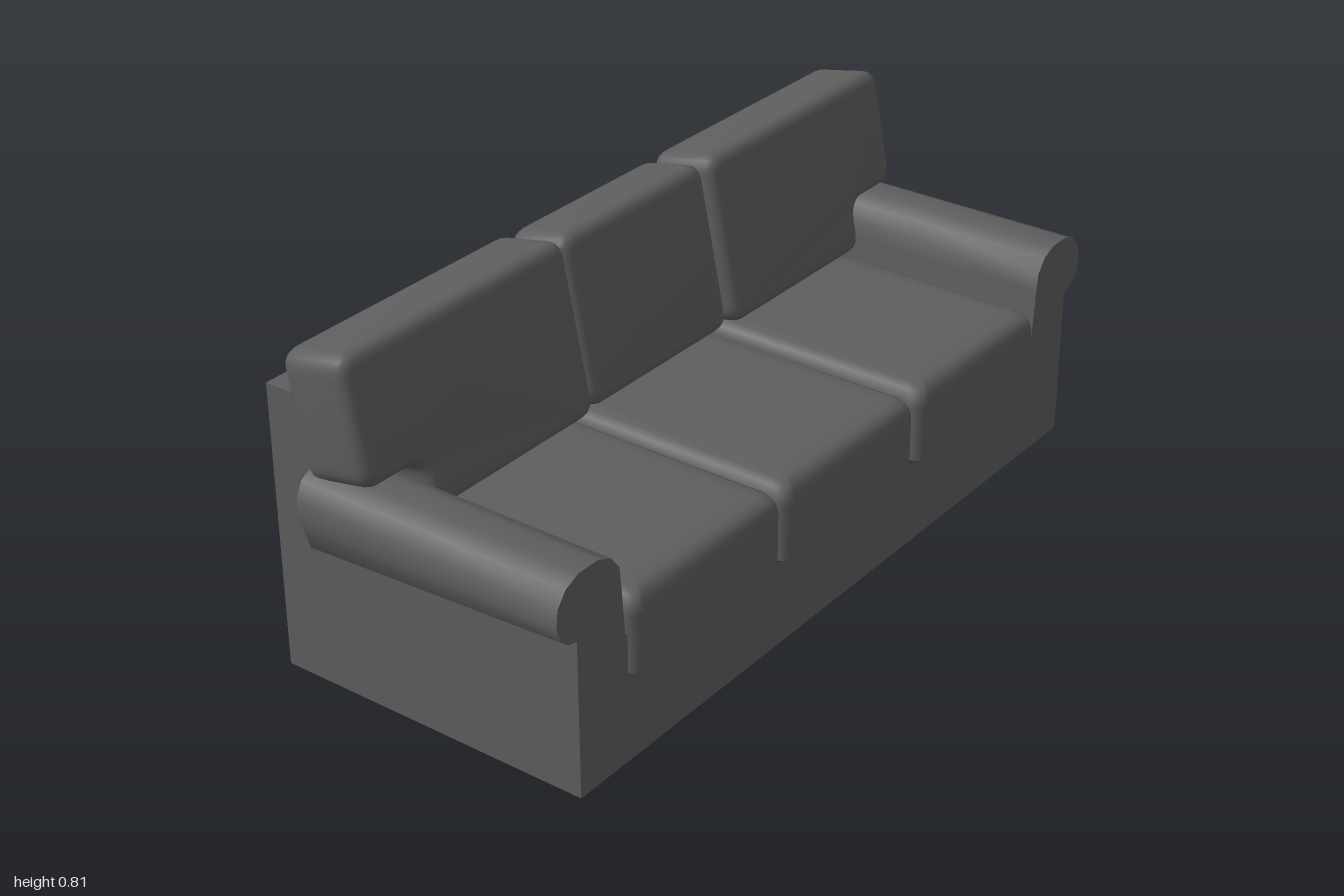
import * as THREE from 'three';
import { toCreasedNormals } from 'three/addons/utils/BufferGeometryUtils.js';

const fabric = new THREE.MeshStandardMaterial({ color: 0x5e5e5e, side: THREE.DoubleSide });
fabric.name = 'charcoal fabric';

// Arm cross-section (x, y): outer wall top, round the roll, down the inner side
const ARM = [
  [0.94, 0.375], [0.965, 0.38], [0.988, 0.398], [1.0, 0.43], [0.995, 0.475], [0.97, 0.508],
  [0.93, 0.525], [0.87, 0.525], [0.83, 0.508], [0.805, 0.475], [0.8, 0.43], [0.79, 0.31],
  [0.78, 0.305], [0.775, 0.21],
];
const FRONT = 0.39, BACK = -0.41, TOP = 0.685;
const slopeZ = (y) => -0.265 - (y - 0.35) * 0.222; // leaning front of the backrest

function add(group, name, geometry) {
  const mesh = new THREE.Mesh(geometry, fabric);
  mesh.name = name;
  group.add(mesh);
  return mesh;
}

// Skin over rings of equal length; optionally closed round and capped at the end
function loft(rings, closed, cap) {
  const n = rings[0].length, pos = rings.flat(2), idx = [];
  for (let r = 0; r < rings.length - 1; r++) {
    for (let i = 0; i < (closed ? n : n - 1); i++) {
      const a = r * n + i, b = r * n + ((i + 1) % n);
      idx.push(a, b, a + n, b, b + n, a + n);
    }
  }
  if (cap) {
    const s = (rings.length - 1) * n;
    for (let i = 1; i < n - 1; i++) idx.push(s, s + i, s + i + 1);
  }
  const g = new THREE.BufferGeometry();
  g.setAttribute('position', new THREE.Float32BufferAttribute(pos, 3));
  g.setIndex(idx);
  g.computeVertexNormals();
  return g;
}

const polygon = (pts) => new THREE.Shape(pts.map(([x, y]) => new THREE.Vector2(x, y)));

// Outline with every corner rounded
function roundedShape(pts, r) {
  const s = new THREE.Shape(), n = pts.length;
  const v = pts.map(([x, y]) => new THREE.Vector2(x, y));
  for (let i = 0; i < n; i++) {
    const c = v[i];
    const toward = (p) => c.clone().add(p.clone().sub(c).setLength(r));
    const a = toward(v[(i + n - 1) % n]), b = toward(v[(i + 1) % n]);
    if (i === 0) s.moveTo(a.x, a.y); else s.lineTo(a.x, a.y);
    s.quadraticCurveTo(c.x, c.y, b.x, b.y);
  }
  s.closePath();
  return s;
}

// Seat cushion: soft top edge, open underneath
function seatCushion(x0, x1) {
  const z0 = -0.22, z1 = 0.41;
  const ring = (inset, y) => {
    const r = 0.03, pts = [];
    const corners = [[x1, z1, 1, 1], [x0, z1, -1, 1], [x0, z0, -1, -1], [x1, z0, 1, -1]];
    corners.forEach(([x, z, sx, sz], k) => {
      for (let i = 0; i <= 4; i++) {
        const a = (k + i / 4) * Math.PI / 2;
        pts.push([
          x - sx * (r + inset) + r * Math.cos(a), y,
          z - sz * (r + inset) + r * Math.sin(a),
        ]);
      }
    });
    return pts.reverse();
  };
  return loft([ring(0, 0.215), ring(0, 0.35), ring(0.004, 0.371), ring(0.014, 0.388),
    ring(0.032, 0.397), ring(0.06, 0.399), ring(0.075, 0.399)], true, true);
}

// Back cushion: bevelled slab leaning backwards
function backCushion(outline, thickness) {
  const bevel = 0.03;
  const g = new THREE.ExtrudeGeometry(roundedShape(outline, 0.045), {
    depth: thickness - 2 * bevel, bevelEnabled: true, bevelThickness: bevel,
    bevelSize: bevel, bevelOffset: -bevel, bevelSegments: 4, curveSegments: 6,
  });
  g.translate(0, 0, bevel - thickness / 2);
  return toCreasedNormals(g, 0.7);
}

export function createModel() {
  const sofa = new THREE.Group();
  sofa.name = 'sofa';

  // Front panel with both arm fronts
  const mirrored = ARM.map(([x, y]) => [-x, y]).reverse();
  const front = new THREE.ShapeGeometry(polygon([[-0.94, 0], [0.94, 0], ...ARM, ...mirrored]));
  add(sofa, 'frontPanel', front.translate(0, 0, FRONT));

  // Backrest: leaning front, flat top, upright back
  const bar = (y, z) => [[-0.94, y, z], [0.94, y, z]];
  add(sofa, 'backrestFront', loft([bar(0.22, slopeZ(0.22)), bar(TOP, slopeZ(TOP))]));
  add(sofa, 'backrestTop', loft([bar(TOP, slopeZ(TOP)), bar(TOP, BACK)]));
  add(sofa, 'backPanel', loft([bar(TOP, BACK), bar(0, BACK)]));

  // Arms and side panels
  for (const side of [1, -1]) {
    const label = side > 0 ? 'left' : 'right';
    const backY = (y) => (y > 0.36 && y < 0.4 ? y - 0.03 : y);
    const ring = (t) => ARM.map(([x, y]) => {
      const yb = backY(y);
      return [side * x, y + (yb - y) * t, FRONT + (slopeZ(yb) - FRONT) * t];
    });
    const rings = [0, 0.5, 1].map(ring);
    add(sofa, label + 'Arm', loft(side > 0 ? rings : rings.reverse()));

    // Arm end leaning along the backrest
    const end = new THREE.ShapeGeometry(polygon(ARM.map(([x, y]) => [side * x, backY(y)])));
    const p = end.attributes.position;
    for (let i = 0; i < p.count; i++) p.setZ(i, slopeZ(p.getY(i)));
    end.computeVertexNormals();
    add(sofa, label + 'ArmEnd', end);

    // Side panel, drawn as (-z, y) and turned upright
    const panel = new THREE.ShapeGeometry(polygon([
      [-FRONT, 0], [-BACK, 0], [-BACK, TOP], [-slopeZ(TOP), TOP],
      [-slopeZ(0.345), 0.345], [-FRONT, 0.375],
    ]));
    panel.rotateY(Math.PI / 2).translate(side * 0.94, 0, 0);
    add(sofa, label + 'SidePanel', panel);
  }

  // Seat cushions
  const seats = { left: [0.265, 0.775], middle: [-0.265, 0.245], right: [-0.785, -0.272] };
  for (const [label, [x0, x1]] of Object.entries(seats)) {
    add(sofa, label + 'SeatCushion', seatCushion(x0, x1));
  }

  // Back cushions; the outer two are notched over the arms
  const outer = [[0.26, -0.005], [0.79, -0.005], [0.79, 0.115], [0.96, 0.115], [0.96, 0.408], [0.26, 0.408]];
  const middle = [[-0.255, -0.005], [0.255, -0.005], [0.255, 0.402], [-0.255, 0.402]];
  const backs = [
    ['left', outer, 0.178, -0.185],
    ['middle', middle, 0.165, -0.192],
    ['right', outer.map(([x, y]) => [-x, y]).reverse(), 0.178, -0.185],
  ];
  for (const [label, outline, thickness, z] of backs) {
    const cushion = add(sofa, label + 'BackCushion', backCushion(outline, thickness));
    cushion.rotation.x = -0.2;
    cushion.position.set(0, 0.4, z);
  }
  return sofa;
}
